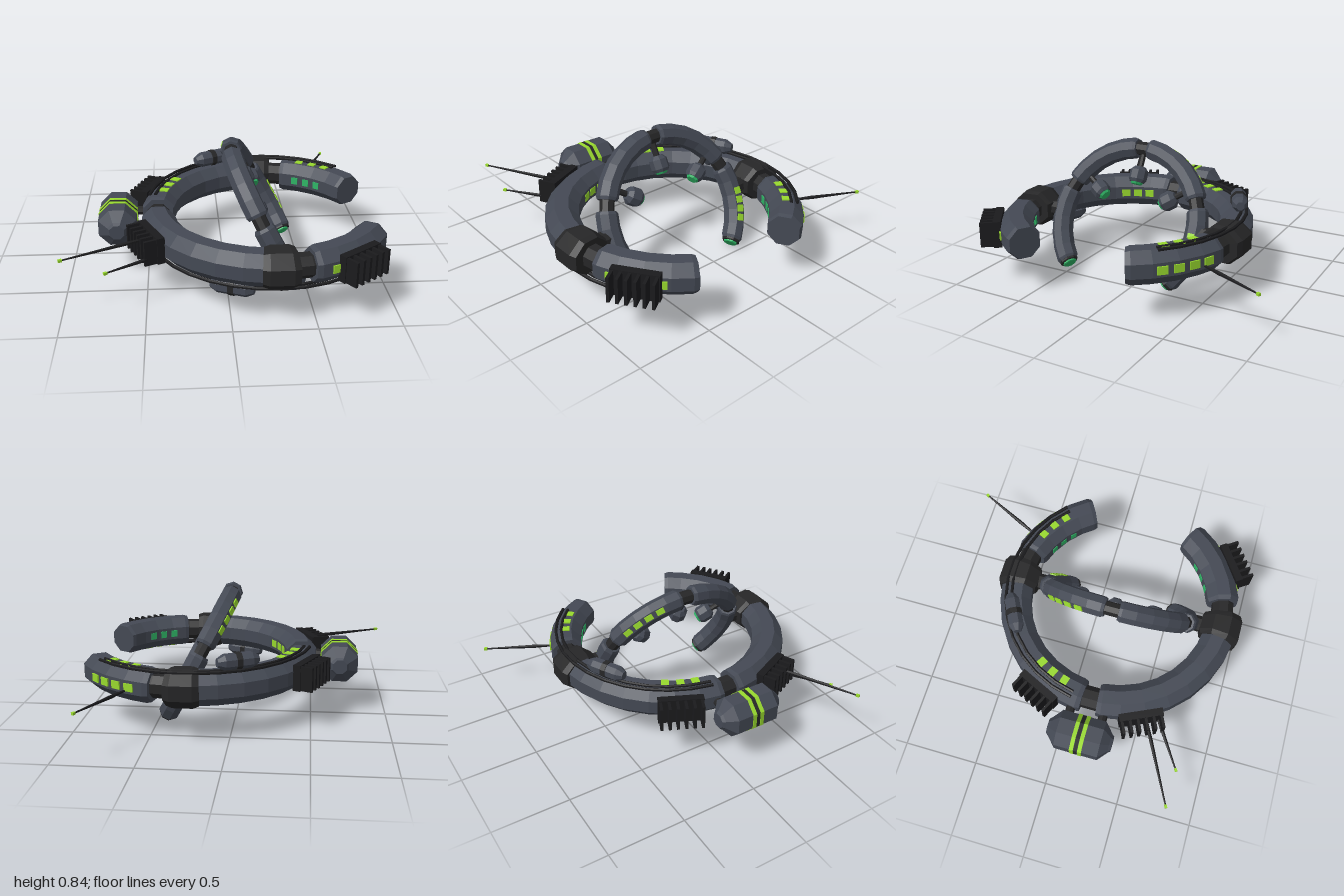
import * as THREE from 'three';

const rad = THREE.MathUtils.degToRad;
const mat = (name, color) => {
  const m = new THREE.MeshStandardMaterial({ color, flatShading: true });
  m.name = name;
  return m;
};

export function createModel() {
  const hull = mat('slate hull', 0x444954);
  const dark = mat('charcoal metal', 0x262627);
  const black = mat('black trim', 0x1b1b1d);
  const lime = mat('lime light', 0x98d92e);
  const emerald = mat('emerald lamp', 0x2fb566);

  const model = new THREE.Group();
  model.name = 'ringStation';

  // Adds a named mesh to a parent
  const add = (parent, name, geo, material, x = 0, y = 0, z = 0, rotZ = 0) => {
    const m = new THREE.Mesh(geo, material);
    m.name = name;
    m.position.set(x, y, z);
    m.rotation.z = rotZ;
    parent.add(m);
    return m;
  };

  // Octagonal tube bent along an arc in the XZ plane, with bevelled closed ends
  const arcTube = (R, r, from, to, bevel = 0.88, sides = 8) => {
    const a0 = rad(from), a1 = rad(to);
    const n = Math.max(1, Math.round((to - from) / 11));
    const b = Math.min((a1 - a0) * 0.25, (r * 0.25) / R, ((a1 - a0) / n) * 0.5);
    const rings = [[a0, 0], [a0, r * bevel], [a0 + b, r]];
    for (let i = 1; i < n; i++) rings.push([a0 + ((a1 - a0) * i) / n, r]);
    rings.push([a1 - b, r], [a1, r * bevel], [a1, 0]);
    const pos = [], index = [];
    rings.forEach(([t, s], i) => {
      for (let j = 0; j < sides; j++) {
        const p = ((j + 0.5) / sides) * Math.PI * 2;
        const d = R + s * Math.cos(p);
        pos.push(d * Math.cos(t), s * Math.sin(p), d * Math.sin(t));
        if (i === rings.length - 1) continue;
        const k = (j + 1) % sides;
        const A = i * sides + j, B = i * sides + k;
        index.push(A, B, B + sides, A, B + sides, A + sides);
      }
    });
    const g = new THREE.BufferGeometry();
    g.setAttribute('position', new THREE.Float32BufferAttribute(pos, 3));
    g.setIndex(index);
    const flat = g.toNonIndexed();
    flat.computeVertexNormals();
    return flat;
  };

  // Turned eight-sided part; profile is [radius, height] from bottom to top
  const turned = (profile, sides = 8) =>
    new THREE.LatheGeometry(profile.map(([r, y]) => new THREE.Vector2(r, y)), sides, Math.PI / sides);

  // Group on a ring: local x points outward, local z runs along the ring
  const station = (ring, name, deg) => {
    const g = new THREE.Group();
    g.name = name;
    g.rotation.y = -rad(deg);
    ring.add(g);
    return g;
  };

  // Thin lights on one face of a tube; face is the angle around the section
  const lights = (ring, name, R, r, face, degs, material, w, len) => {
    const p = rad(face), a = r * Math.cos(Math.PI / 8) + 0.002;
    for (const deg of degs) {
      add(station(ring, name, deg), name, new THREE.BoxGeometry(0.009, w, len), material,
        R + a * Math.cos(p), a * Math.sin(p), 0, p);
    }
  };

  // ---- Main ring ----
  const main = new THREE.Group();
  main.name = 'mainRing';
  main.position.set(0.28, 0.34, 0.155);
  model.add(main);
  const R = 0.71, r = 0.114;
  add(main, 'mainSpine', arcTube(R, 0.077, 32, 328), dark);
  for (const [a, b] of [[30, 75], [94, 176], [184, 266], [285, 330]])
    add(main, 'hullSegment', arcTube(R, r, a, b, 0.92), hull);
  for (const deg of [90, 270])
    add(main, 'collar', arcTube(R, 0.146, deg - 7.7, deg + 7.7, 0.9), dark).scale.y = 0.87;

  // Conduits: above the back half, below the front half
  for (const d of [0.735, 0.772]) {
    add(main, 'topConduit', arcTube(d, 0.011, 189, 316, 1, 6), black, 0, 0.109);
    add(main, 'bottomConduit', arcTube(d, 0.011, 47, 164, 1, 6), black, 0, -0.109);
  }

  // Ring lights
  const mirrored = (degs) => degs.map((d) => -d);
  const tipDegs = [48, 56, 64], outerDegs = [45, 52, 59, 66];
  lights(main, 'topLight', R, r, 90, mirrored(tipDegs), lime, 0.065, 0.05);
  lights(main, 'topLight', R - 0.012, r, 90, [196, 204, 212], lime, 0.065, 0.05);
  lights(main, 'bottomLight', R, r, -90, tipDegs, lime, 0.065, 0.05);
  lights(main, 'innerLight', R, r, 180, [148, 156, 164], lime, 0.05, 0.06);
  lights(main, 'outerLight', R, r, 0, [...outerDegs, ...mirrored(outerDegs)], lime, 0.05, 0.065);
  lights(main, 'innerTipLight', R, r, 180, [...tipDegs, ...mirrored(tipDegs)], emerald, 0.05, 0.045);

  // Radiator fin banks
  for (const deg of [55, 155, 205]) {
    const g = station(main, 'radiator', deg);
    add(g, 'radiatorBase', new THREE.BoxGeometry(0.05, 0.17, 0.29), black, 0.822);
    for (let i = 0; i < 6; i++)
      add(g, 'radiatorFin', new THREE.BoxGeometry(0.12, 0.16, 0.018), black, 0.868, 0, (i - 2.5) * 0.052);
  }

  // Antennas: angle, height, start and end distance
  for (const [deg, y, d0, d1] of [[-64, -0.025, 0.8, 1.27], [153, 0.045, 0.8, 1.415], [147, -0.04, 0.8, 1.2]]) {
    const g = station(main, 'antenna', deg), L = d1 - d0;
    const rod = turned([[0, 0], [0.007, 0], [0.013, L * 0.3], [0.005, L], [0, L]], 6);
    add(g, 'antennaRod', rod, black, d0, y, 0, -Math.PI / 2);
    add(g, 'antennaTip', new THREE.BoxGeometry(0.022, 0.016, 0.016), lime, d1, y);
  }

  // Small tanks riding on the ring: angle, height
  const tank = turned([[0, -0.135], [0.028, -0.135], [0.052, -0.09], [0.052, 0.09], [0.028, 0.135], [0, 0.135]]);
  const tankBand = turned([[0, -0.018], [0.057, -0.018], [0.057, 0.018], [0, 0.018]]);
  for (const [deg, y] of [[243, 0.157], [112, -0.14]]) {
    const g = station(main, 'smallTank', deg);
    add(g, 'tankBody', tank, hull, R + 0.01, y).rotation.x = Math.PI / 2;
    add(g, 'tankBand', tankBand, dark, R + 0.01, y).rotation.x = Math.PI / 2;
  }

  // ---- Reactor drum beside the ring ----
  const drum = new THREE.Group();
  drum.name = 'reactor';
  drum.position.set(-0.685, 0.34, 0.155);
  drum.rotation.x = Math.PI / 2;
  model.add(drum);
  add(drum, 'reactorBody', turned([[0, -0.217], [0.05, -0.217], [0.065, -0.2], [0.13, -0.145], [0.13, 0.145],
    [0.065, 0.2], [0.05, 0.217], [0, 0.217]]), hull);
  add(drum, 'reactorBelt', turned([[0, -0.012], [0.132, -0.012], [0.132, 0.012], [0, 0.012]]), dark);
  for (const s of [-1, 1]) {
    add(drum, 'reactorBand', turned([[0, -0.013], [0.134, -0.013], [0.134, 0.013], [0, 0.013]]), lime, 0, s * 0.027);
    add(drum, 'reactorStrut', new THREE.CylinderGeometry(0.03, 0.03, 0.2, 8), dark, 0.15, s * 0.11, 0, Math.PI / 2);
  }

  // ---- Tilted inner arch: local x is its top, local z its width ----
  const arch = new THREE.Group();
  arch.name = 'innerArch';
  arch.position.copy(main.position);
  arch.rotation.z = rad(118);
  model.add(arch);
  const AR = 0.495, ar = 0.07;
  add(arch, 'archSpine', arcTube(AR, 0.046, -128, 128), dark);
  for (const [a, b] of [[5, 64], [72, 131], [-64, -5], [-131, -72]])
    add(arch, 'archSegment', arcTube(AR, ar, a, b, 0.88), hull);
  for (const s of [-1, 1]) {
    const span = (a, b) => (s > 0 ? [a, b] : [-b, -a]);
    add(arch, 'legRim', arcTube(AR, 0.06, ...span(130.5, 133), 0.95), dark);
    add(arch, 'legLamp', arcTube(AR, 0.046, ...span(132.5, 134.5), 0.85), emerald);
    // Pivot pin to the main ring
    add(arch, 'pivotPin', new THREE.CylinderGeometry(0.055, 0.055, 0.1, 8), dark, 0, 0, s * 0.57).rotation.x = Math.PI / 2;
  }
  lights(arch, 'archLight', AR, ar, 45, [-23, -32, -41, -50], lime, 0.036, 0.055);
  lights(arch, 'legLight', AR, ar, -90, [-93, -100, -107, -114], lime, 0.045, 0.045);

  // Lamp pods hanging inside the arch
  const pod = turned([[0, -0.055], [0.036, -0.055], [0.06, -0.03], [0.06, 0.03], [0.048, 0.05], [0, 0.05]]);
  const podLamp = turned([[0, 0], [0.044, 0], [0.034, 0.014], [0, 0.014]]);
  for (const deg of [-55, 0, 55]) {
    const g = station(arch, 'lampPod', deg);
    add(g, 'podStalk', new THREE.CylinderGeometry(0.02, 0.02, 0.12, 8), dark, 0.4, 0, 0, Math.PI / 2);
    add(g, 'podBody', pod, hull, 0.315, 0, 0, Math.PI / 2);
    add(g, 'podLamp', podLamp, emerald, 0.266, 0, 0, Math.PI / 2);
  }
  return model;
}
